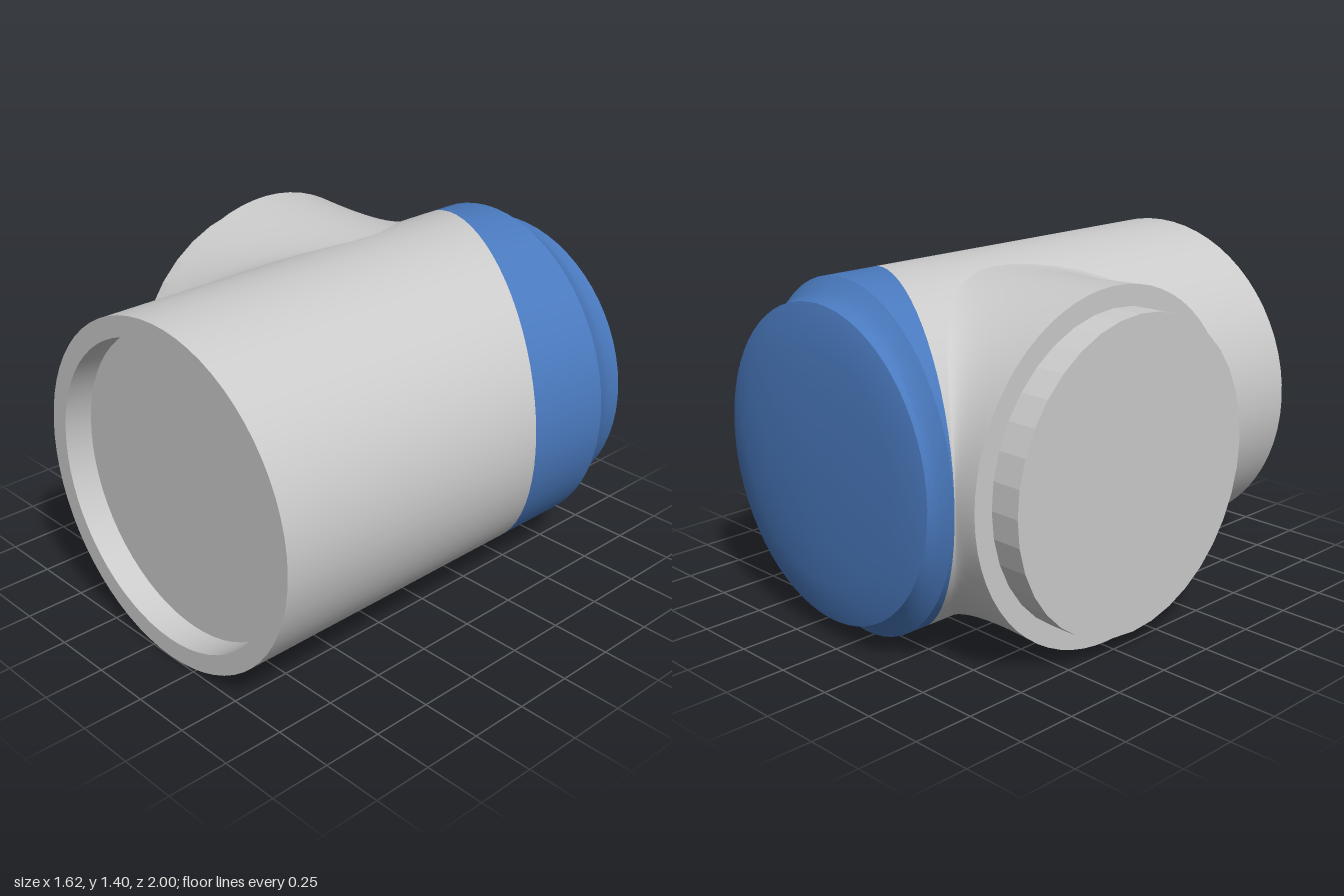
import * as THREE from 'three';
import { toCreasedNormals } from 'three/addons/utils/BufferGeometryUtils.js';

const SEG = 64;
const R = 0.7;        // pipe radius
const BORE = 0.618;   // socket and plug radius
const CX = 0.11;      // main pipe axis, x
const CY = 0.705;     // height of both axes
const CZ = -0.21;     // side branch axis, z
const SEAM = { z: -0.6025, k: 0.446 }; // slanted joint between pipe and cap

// Skins closed rings of points; ring(i, angle) returns [x, y, z]
function loft(count, ring, crease) {
  const pos = [], index = [];
  for (let i = 0; i < count; i++) {
    for (let j = 0; j < SEG; j++) {
      pos.push(...ring(i, (j / SEG) * Math.PI * 2));
      if (i === count - 1) continue;
      const a = i * SEG + j, b = i * SEG + ((j + 1) % SEG);
      index.push(a, b, b + SEG, a, b + SEG, a + SEG);
    }
  }
  const g = new THREE.BufferGeometry();
  g.setAttribute('position', new THREE.Float32BufferAttribute(pos, 3));
  g.setIndex(index);
  return toCreasedNormals(g, crease);
}

// Rings around the main axis: [radius, z at the axis, slant in x]
function mainLoft(rings) {
  return loft(rings.length, (i, a) => {
    const [r, z, k] = rings[i];
    const dx = r * Math.cos(a);
    return [CX + dx, CY + r * Math.sin(a), z + k * dx];
  }, 0.5);
}

// Side branch: flat end rim, then a wall that sweeps round into the main pipe
function branchGeometry() {
  const steps = 14, x0 = -0.685;
  return loft(steps + 2, (i, a) => {
    const c = Math.cos(a), sn = Math.sin(a), s = Math.abs(sn);
    if (i === 0) return [x0, CY + 0.55 * c, CZ + 0.55 * sn];
    const t = (i - 1) / steps;
    const xc = CX - R * s, zc = CZ + R * sn; // where the two pipes meet
    const fillet = sn > 0 ? 0.08 * s + 0.5 * s * (1 - s) : -0.36 * s * (1 - s);
    const x = (1 - t) ** 2 * x0 + (1 - (1 - t) ** 2) * xc;
    const dip = 0.02 * 4 * t * (1 - t);
    return [x, CY + (R - dip) * c, zc + fillet * t * t];
  }, 0.7);
}

export function createModel() {
  const group = new THREE.Group();
  const grey = new THREE.MeshStandardMaterial({ color: 0xcccccc });
  const greyFlat = new THREE.MeshStandardMaterial({ color: 0xcccccc, flatShading: true });
  const blue = new THREE.MeshStandardMaterial({ color: 0x4a7abf });
  const add = (name, geometry, material) => {
    const mesh = new THREE.Mesh(geometry, material);
    mesh.name = name;
    group.add(mesh);
    return mesh;
  };

  // Main pipe with a shallow socket in its front end
  add('mainPipe', mainLoft([
    [R, SEAM.z, SEAM.k], [R, 1, 0], [BORE, 1, 0], [BORE, 0.88, 0], [0, 0.88, 0],
  ]), grey);

  add('sideBranch', branchGeometry(), grey);

  // Plug standing out of the side branch
  const plug = add('sidePlug', new THREE.CylinderGeometry(BORE, BORE, 0.165, 36), greyFlat);
  plug.rotation.z = Math.PI / 2;
  plug.position.set(-0.7295, CY, CZ);

  // Slanted cap: domed end, neck, flared shoulder, wall down to the seam
  add('endCap', mainLoft([
    [0, -1, 0], [0.3, -0.99, 0.015], [0.46, -0.978, 0.03], [0.57, -0.96, 0.045],
    [0.625, -0.942, 0.052], [0.632, -0.895, 0.1], [0.655, -0.857, 0.125],
    [R, -0.808, 0.157], [R, SEAM.z, SEAM.k],
  ]), blue);

  return group;
}
